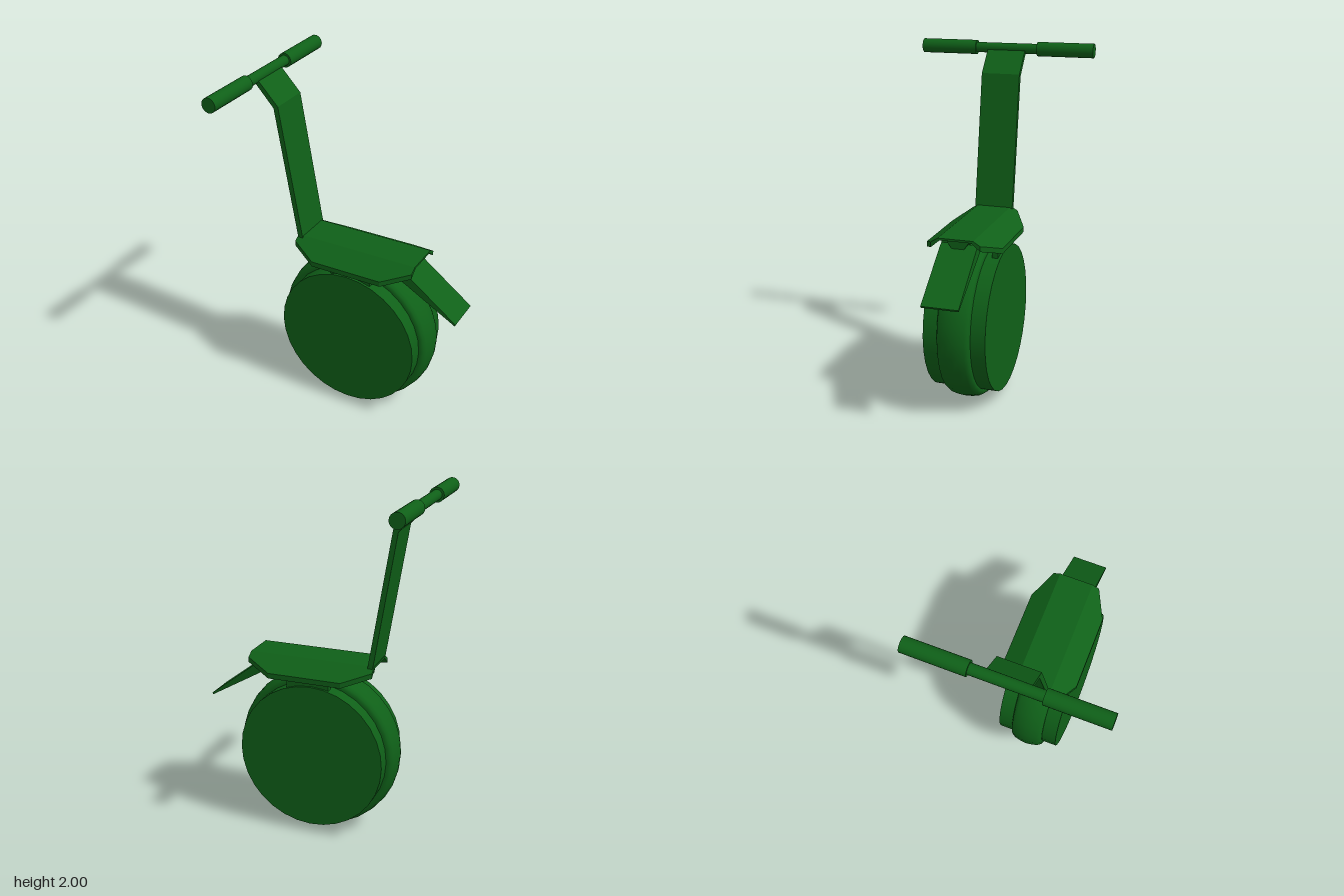
import * as THREE from 'three';

const green = new THREE.MeshStandardMaterial({ color: 0x0f6018 });

export function createModel() {
  const model = new THREE.Group();
  const add = (name, geometry, x = 0, y = 0, z = 0) => {
    const mesh = new THREE.Mesh(geometry, green);
    mesh.name = name;
    mesh.position.set(x, y, z);
    model.add(mesh);
    return mesh;
  };
  // Closed outline pushed out to a width, centred on its plane
  const slab = (points, width) => {
    const shape = new THREE.Shape(points.map(([x, y]) => new THREE.Vector2(x, y)));
    return new THREE.ExtrudeGeometry(shape, { depth: width, bevelEnabled: false })
      .translate(0, 0, -width / 2);
  };
  const axle = (radius, length, sides) =>
    new THREE.CylinderGeometry(radius, radius, length, sides).rotateX(Math.PI / 2);

  // Tyre with rounded shoulders
  const tread = [[0.40, -0.095], [0.44, -0.095], [0.457, -0.088], [0.468, -0.07], [0.476, -0.035], [0.48, 0],
    [0.476, 0.035], [0.468, 0.07], [0.457, 0.088], [0.44, 0.095], [0.40, 0.095]];
  add('tyre', new THREE.LatheGeometry(tread.map(([r, h]) => new THREE.Vector2(r, h)), 32)
    .rotateX(Math.PI / 2), -0.015, 0.48);

  // Side covers and the arms that carry the deck
  const armProfile = [[0.165, 0.86], [0.168, 0.955], [0.155, 0.985], [0.14, 1.015], [0.118, 1.02], [0.13, 0.98], [0.13, 0.86]];
  for (const side of [1, -1]) {
    add('wheelCover', axle(0.43, 0.09, 32), -0.015, 0.48, side * 0.135);
    const arm = slab(armProfile.map(([z, y]) => [z * side, y]), 0.25).rotateY(-Math.PI / 2);
    add('deckArm', arm, 0.005);
  }

  // Folded deck: flat middle with sloping wings that narrow at both ends
  const section = (x, edge) => {
    const drop = 1.05 - (edge - 0.1) * 0.625;
    return [[-edge, drop], [-0.1, 1.05], [0.1, 1.05], [edge, drop],
      [edge, drop - 0.03], [0.09, 1.038], [-0.09, 1.038], [-edge, drop - 0.03]]
      .map(([z, y]) => [x, y, z]);
  };
  const sections = [section(-0.365, 0.14), section(-0.21, 0.22), section(0.22, 0.22), section(0.375, 0.14)];
  const positions = [];
  const quad = (a, b, c, d) => positions.push(...a, ...b, ...c, ...a, ...c, ...d);
  for (let k = 0; k < 3; k++) {
    const s = sections[k], t = sections[k + 1];
    for (let i = 0; i < 8; i++) {
      const j = (i + 1) % 8;
      quad(s[i], s[j], t[j], t[i]);
    }
    // End caps, one strip quad per fold
    const first = sections[0], last = sections[3];
    quad(last[k], last[k + 1], last[6 - k], last[7 - k]);
    quad(first[7 - k], first[6 - k], first[k + 1], first[k]);
  }
  const deck = new THREE.BufferGeometry();
  deck.setAttribute('position', new THREE.Float32BufferAttribute(positions, 3));
  deck.computeVertexNormals();
  add('deck', deck);

  // Tapered rail beneath the deck
  add('underRail', slab([[-0.06, 1.04], [0.06, 1.04], [0.06, 1.02], [0.025, 0.97], [-0.025, 0.97], [-0.06, 1.02]], 0.66)
    .rotateY(-Math.PI / 2), 0.005);

  // Wedge-shaped mudguard
  add('mudguard', slab([[0.27, 0.955], [0.3, 1.005], [0.335, 0.985], [0.635, 0.755], [0.63, 0.745]], 0.21));

  // Bent flat stem
  add('stem', slab([[-0.36, 1.04], [-0.33, 1.04], [-0.457, 1.825], [-0.59, 1.97], [-0.61, 1.953], [-0.485, 1.812]], 0.23));

  // Handlebar and grips
  add('handlebar', axle(0.03, 0.5, 20), -0.6, 1.96);
  for (const side of [1, -1]) add('grip', axle(0.042, 0.338, 24), -0.6, 1.96, side * 0.357);

  return model;
}
